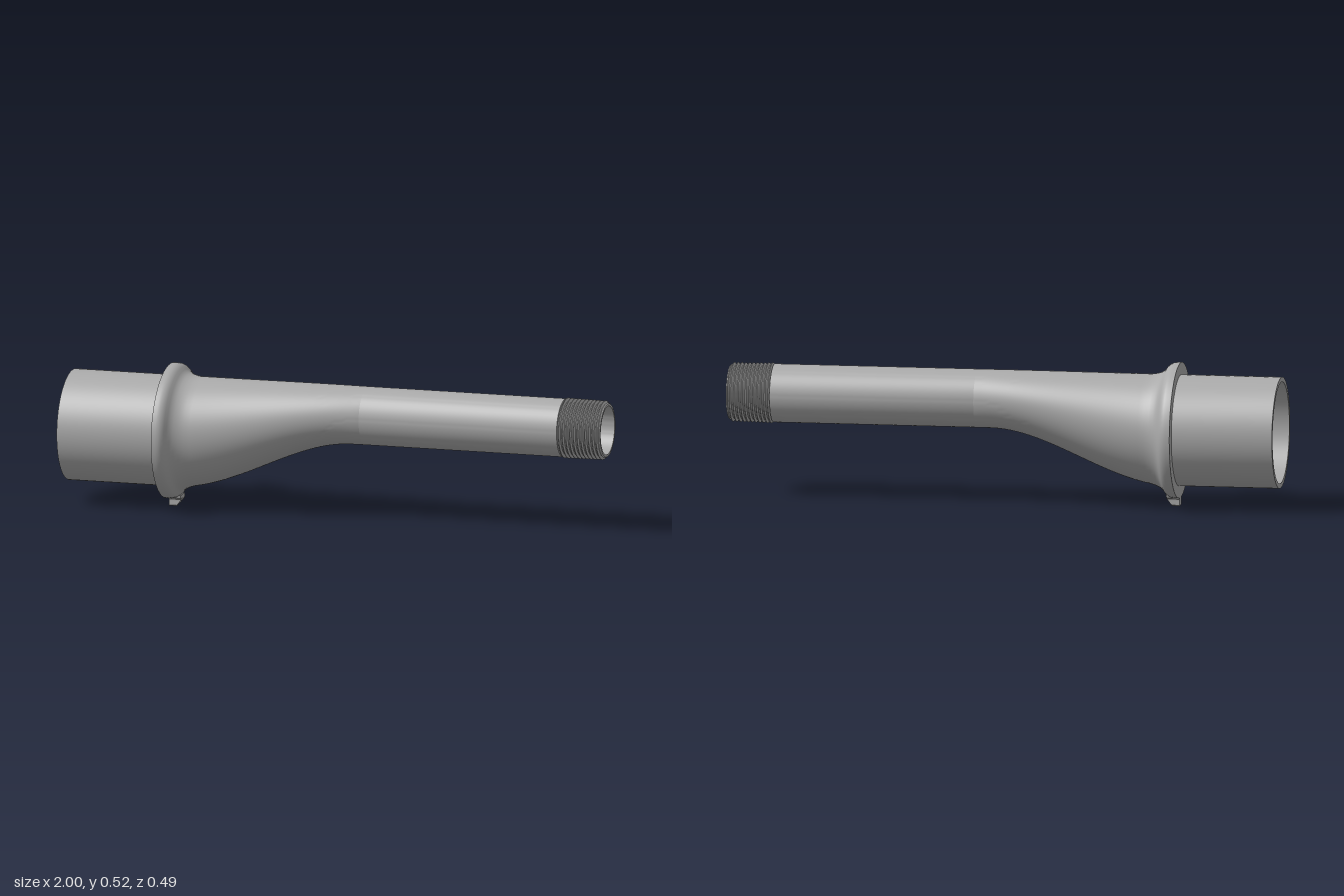
import * as THREE from 'three';
import { toCreasedNormals } from 'three/addons/utils/BufferGeometryUtils.js';

const SEGMENTS = 72;
const WALL = 0.0175;
const BIG_Y = 0.273, BIG_R = 0.2;      // wide tube axis and radius
const NECK_Y = 0.37, NECK_R = 0.105;   // narrow tube axis and radius

// Elliptical cross-sections [x, top, bottom, halfWidth]; rising x faces outward, falling x inward
function loft(sections) {
  const positions = [], indices = [];
  sections.forEach(([x, top, bottom, width], i) => {
    for (let j = 0; j < SEGMENTS; j++) {
      const t = (j / SEGMENTS) * Math.PI * 2;
      positions.push(x, (top + bottom) / 2 + ((top - bottom) / 2) * Math.cos(t), width * Math.sin(t));
      if (i === sections.length - 1) continue;
      const a = i * SEGMENTS + j, b = i * SEGMENTS + ((j + 1) % SEGMENTS);
      indices.push(a, b, a + SEGMENTS, b, b + SEGMENTS, a + SEGMENTS);
    }
  });
  const geometry = new THREE.BufferGeometry();
  geometry.setAttribute('position', new THREE.Float32BufferAttribute(positions, 3));
  geometry.setIndex(indices);
  return toCreasedNormals(geometry, 0.55);
}

const ring = (x, y, r) => [x, y + r, y - r, r];

// Section of the offset reducer, grown outward by the given amount
function reducer(x, grow = 0) {
  const s = THREE.MathUtils.smoothstep(x, -0.6, 0.05);
  const w = THREE.MathUtils.clamp((x + 0.6) / 0.7, 0, 1);
  const top = THREE.MathUtils.lerp(BIG_Y + BIG_R, NECK_Y + NECK_R, s);
  const bottom = THREE.MathUtils.lerp(BIG_Y - BIG_R, NECK_Y - NECK_R, s);
  return [x, top + grow, bottom - grow, THREE.MathUtils.lerp(BIG_R, NECK_R, w) + grow];
}

export function createModel() {
  const group = new THREE.Group();
  const metal = new THREE.MeshStandardMaterial({ color: 0xaaaaaa });
  metal.name = 'grey metal';
  const add = (name, geometry) => {
    const mesh = new THREE.Mesh(geometry, metal);
    mesh.name = name;
    group.add(mesh);
  };

  // Wide tube with its open rim
  add('wideTube', loft([
    ring(-1, BIG_Y, BIG_R - WALL), ring(-1, BIG_Y, BIG_R), ring(-0.635, BIG_Y, BIG_R),
  ]));

  // Collar blending into the offset reducer
  const collar = [[-0.635, 0], [-0.635, 0.044], [-0.62, 0.044], [-0.61, 0.0425], [-0.6, 0.038], [-0.592, 0.031],
    [-0.585, 0.022], [-0.577, 0.014], [-0.566, 0.008], [-0.55, 0.003], [-0.53, 0]];
  const body = collar.map(([x, grow]) => reducer(x, grow));
  for (let i = 1; i <= 30; i++) body.push(reducer(-0.53 + (0.63 * i) / 30));
  add('collarAndReducer', loft(body));

  // Narrow straight tube
  add('neck', loft([ring(0.1, NECK_Y, NECK_R), ring(0.84, NECK_Y, NECK_R)]));

  // Thread ridges on the narrow end, closed by a chamfered rim
  const turns = 11, pitch = 0.153 / turns;
  const thread = [ring(0.84, NECK_Y, NECK_R)];
  for (let i = 0; i < turns; i++) {
    const x = 0.84 + i * pitch, crest = 0.1085 - 0.0025 * (i / turns);
    thread.push(ring(x + pitch * 0.12, NECK_Y, crest - 0.009));
    thread.push(ring(x + pitch * 0.45, NECK_Y, crest));
    thread.push(ring(x + pitch * 0.62, NECK_Y, crest));
    thread.push(ring(x + pitch * 0.95, NECK_Y, crest - 0.009));
  }
  thread.push(ring(0.995, NECK_Y, 0.1), ring(1, NECK_Y, 0.096), ring(1, NECK_Y, NECK_R - WALL));
  add('thread', loft(thread));

  // Hollow inside, running from the narrow end back to the wide end
  const bore = [ring(1, NECK_Y, NECK_R - WALL)];
  for (let i = 0; i <= 30; i++) bore.push(reducer(0.1 - (0.7 * i) / 30, -WALL));
  bore.push(ring(-1, BIG_Y, BIG_R - WALL));
  add('bore', loft(bore));

  // Small locating tab under the collar, with flared root
  const half = [[0.014, 0], [0.017, 0.003], [0.0175, 0.012], [0.0165, 0.019], [0.018, 0.025], [0.027, 0.031], [0.03, 0.042]];
  const outline = [...half, ...half.map(([z, y]) => [-z, y]).reverse()].map(([z, y]) => new THREE.Vector2(z, y));
  const tab = new THREE.ExtrudeGeometry(new THREE.Shape(outline), { depth: 0.048, bevelEnabled: false });
  tab.rotateY(Math.PI / 2).translate(-0.635, 0, 0);
  const p = tab.attributes.position;
  for (let i = 0; i < p.count; i++) {
    // lean the front face back toward the tip
    if (p.getX(i) > -0.6) p.setX(i, -0.588 - 0.02 * Math.max(0, 1 - p.getY(i) / 0.025));
  }
  add('locatingTab', toCreasedNormals(tab, 0.6));

  return group;
}
